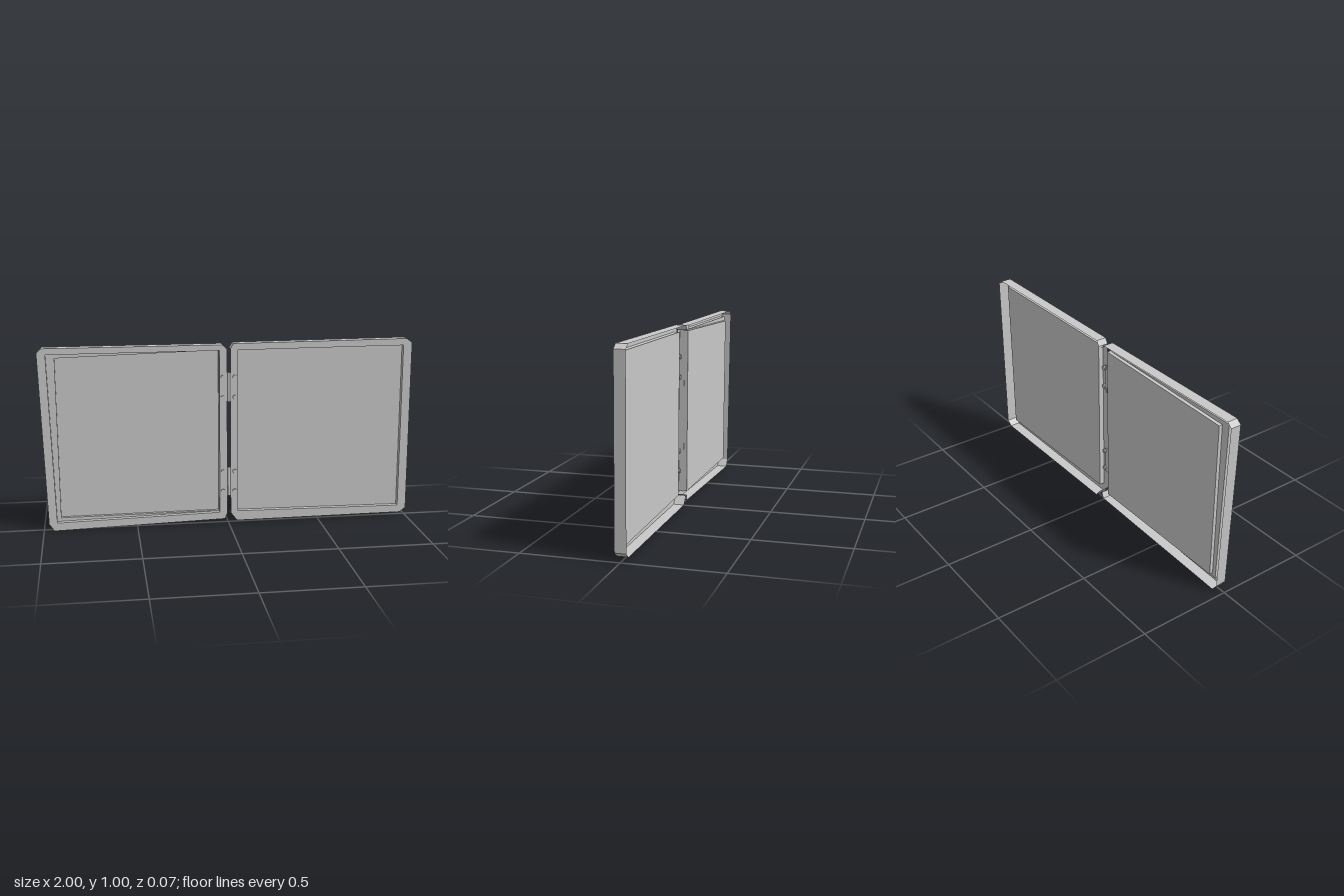
import * as THREE from 'three';

const grey = new THREE.MeshStandardMaterial({ color: 0xc8c8c8, side: THREE.DoubleSide });
grey.name = 'plain grey';

const FRONT = 0.029;
const BACK = -0.029;

function addMesh(group, name, geometry) {
  const mesh = new THREE.Mesh(geometry, grey);
  mesh.name = name;
  group.add(mesh);
  return mesh;
}

// Flat sheet at depth z, with an optional opening
function sheet(group, name, outline, z, hole) {
  const points = (list) => list.map(([x, y]) => new THREE.Vector2(x, y));
  const shape = new THREE.Shape(points(outline));
  if (hole) shape.holes.push(new THREE.Path(points(hole)));
  addMesh(group, name, new THREE.ShapeGeometry(shape).translate(0, 0, z));
}

// Sheet wall following a path from depth z0 to z1
function wall(group, name, path, z0, z1, closed) {
  const positions = [];
  const count = closed ? path.length : path.length - 1;
  for (let i = 0; i < count; i++) {
    const [ax, ay] = path[i];
    const [bx, by] = path[(i + 1) % path.length];
    positions.push(ax, ay, z0, ax, ay, z1, bx, by, z1, ax, ay, z0, bx, by, z1, bx, by, z0);
  }
  const geometry = new THREE.BufferGeometry();
  geometry.setAttribute('position', new THREE.Float32BufferAttribute(positions, 3));
  geometry.computeVertexNormals();
  addMesh(group, name, geometry);
}

// Pressed tray, open at the back: border, outer flange and sunken steps.
// The outline starts and ends beside the hinges, where there is no flange.
function tray(name, outline, steps) {
  const group = new THREE.Group();
  group.name = name;
  wall(group, 'flange', outline, FRONT, BACK, false);
  let outer = outline;
  let z = FRONT;
  for (const step of steps) {
    sheet(group, 'border', outer, z, step.opening);
    wall(group, 'stepWall', step.opening, z, step.z, true);
    outer = step.opening;
    z = step.z;
  }
  sheet(group, 'panel', outer, z);
  return group;
}

// Leaf and pin bridging the gap, with screws through both borders
function hinge(y, zPin) {
  const group = new THREE.Group();
  group.name = 'hinge';
  group.position.y = y;
  addMesh(group, 'hingeLeaf', new THREE.BoxGeometry(0.055, 0.15, 0.005)).position.z = 0.026;
  addMesh(group, 'hingePin', new THREE.CylinderGeometry(0.008, 0.008, 0.16, 8)).position.z = zPin;
  for (const x of [-0.032, 0.032]) for (const dy of [-0.055, 0.055]) {
    const screw = addMesh(group, 'screw', new THREE.CylinderGeometry(0.012, 0.012, 0.018, 8));
    screw.rotation.x = Math.PI / 2;
    screw.position.set(x, dy, 0.026);
  }
  return group;
}

export function createModel() {
  const model = new THREE.Group();
  model.name = 'hingedTrays';
  const body = new THREE.Group();
  body.name = 'leaningBody';

  // Slightly crooked trays with clipped corners; the right one has a second step
  body.add(tray('rightTray', [
    [-0.008, 0.06], [-0.022, 0.027], [-0.945, 0.001], [-0.972, 0.04],
    [-1, 0.965], [-0.975, 0.988], [-0.035, 0.988], [-0.01, 0.965],
  ], [
    { opening: [[-0.955, 0.955], [-0.05, 0.957], [-0.05, 0.065], [-0.928, 0.045]], z: 0.002 },
    { opening: [[-0.91, 0.932], [-0.051, 0.956], [-0.051, 0.068], [-0.907, 0.065]], z: -0.017 },
  ]));
  body.add(tray('leftTray', [
    [0.008, 0.965], [0.025, 0.993], [0.97, 1], [1, 0.978],
    [1, 0.045], [0.968, 0.02], [0.045, 0.015], [0.01, 0.06],
  ], [
    { opening: [[0.05, 0.958], [0.953, 0.964], [0.953, 0.06], [0.05, 0.069]], z: 0.001 },
  ]));

  body.add(hinge(0.76, 0.024), hinge(0.24, 0.031));

  // The whole body leans back a little
  body.rotation.x = -0.0075;
  body.position.z = -0.001;
  model.add(body);
  return model;
}
